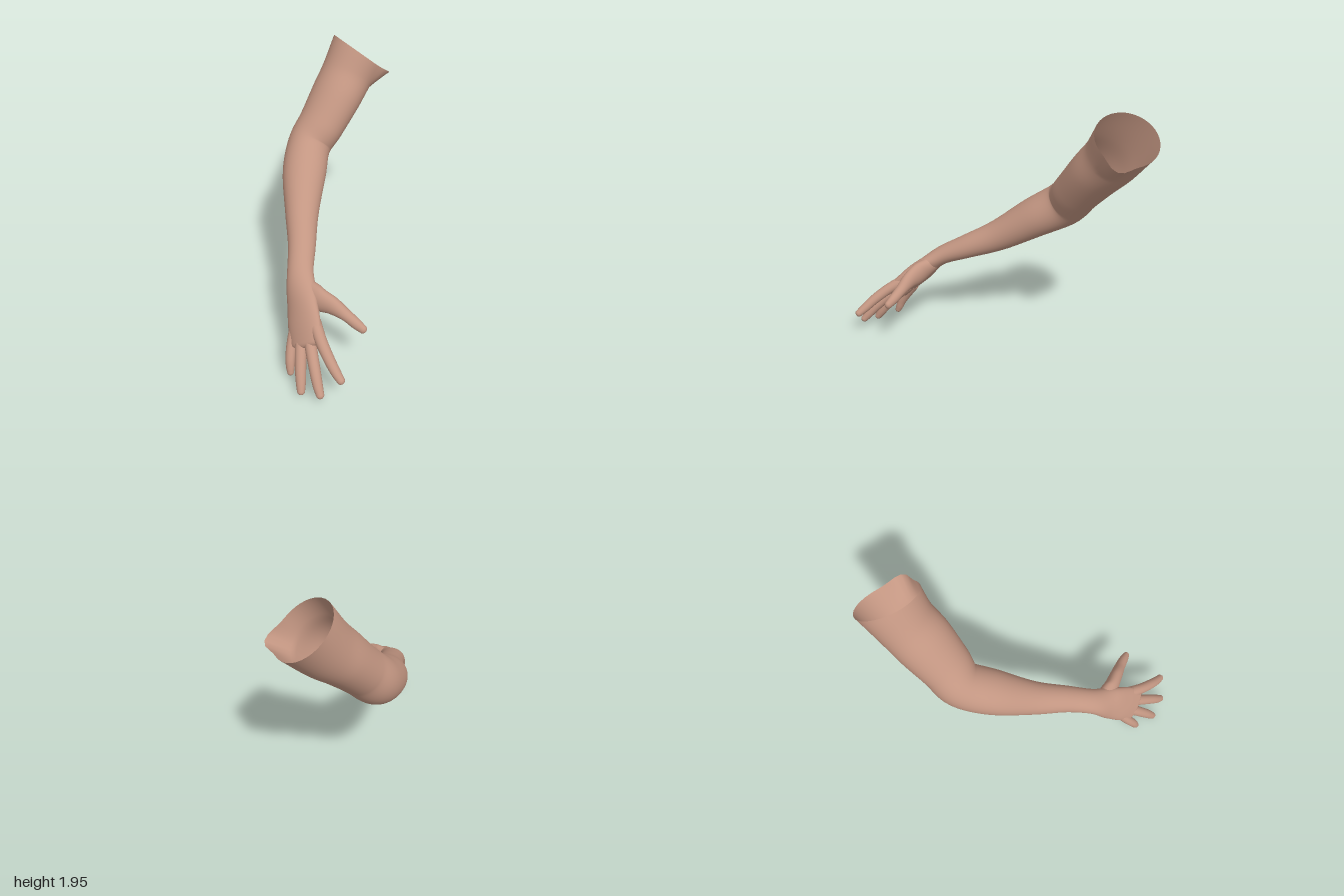
import * as THREE from 'three';

const skin = new THREE.MeshStandardMaterial({ color: 0xc39682, side: THREE.DoubleSide });
skin.name = 'skin';

const V = (x, y, z) => new THREE.Vector3(x, y, z);

// Smooth skin through elliptical sections [x, y, z, sideRadius, otherRadius, sideDirection],
// closed at the end by a rounded cap. "shape" may reshape the ring of a given t.
function loft(name, sections, { rows = 40, sides = 28, cap = 0.03, shape = null } = {}) {
  const curve = (pts) => new THREE.CatmullRomCurve3(pts, false, 'catmullrom', 0.5);
  const path = curve(sections.map((s) => V(s[0], s[1], s[2])));
  const radii = curve(sections.map((s) => V(s[3], s[4], 0)));
  const hints = curve(sections.map((s) => V(...s[5])));
  const positions = [];
  const index = [];
  const capRows = 7;
  const total = rows + capRows;
  for (let i = 0; i <= total; i++) {
    const t = Math.min(i / rows, 1);
    const phi = (Math.max(0, i - rows) / capRows) * Math.PI / 2;
    const T = path.getTangent(t);
    const c = path.getPoint(t).addScaledVector(T, cap * Math.sin(phi));
    const r = radii.getPoint(t).multiplyScalar(Math.max(Math.cos(phi), 0.001));
    const side = hints.getPoint(t);
    side.addScaledVector(T, -side.dot(T)).normalize();
    const up = side.clone().cross(T);
    for (let j = 0; j < sides; j++) {
      const a = (j / sides) * Math.PI * 2;
      const { scale, slide } = shape ? shape(t, a) : { scale: 1, slide: 0 };
      const p = c.clone()
        .addScaledVector(side, r.x * Math.cos(a) * scale)
        .addScaledVector(up, r.y * Math.sin(a) * scale)
        .addScaledVector(T, slide);
      positions.push(p.x, p.y, p.z);
      if (i < total) {
        const k = (j + 1) % sides;
        const A = i * sides + j, B = A + sides, C = i * sides + k, D = C + sides;
        index.push(A, B, C, B, D, C);
      }
    }
  }
  const g = new THREE.BufferGeometry();
  g.setAttribute('position', new THREE.Float32BufferAttribute(positions, 3));
  g.setIndex(index);
  g.computeVertexNormals();
  const mesh = new THREE.Mesh(g, skin);
  mesh.name = name;
  return mesh;
}

// Slanted open rim, with one flared corner
function rimShape(t, a) {
  const near = Math.max(0, 1 - t / 0.09);
  const d = a - Math.PI * 1.25;
  return {
    scale: 1 + 0.32 * near * Math.exp(-d * d * 9),
    slide: -0.05 * near * Math.cos(a),
  };
}

export function createModel() {
  const group = new THREE.Group();
  group.name = 'arm';

  const back = [-0.1, 0, -1];
  const outer = [-0.8, 0, -0.62];
  const little = [-0.41, -0.56, -0.74]; // from index knuckle to little knuckle

  // Upper arm, elbow, forearm, wrist and palm in one skin
  group.add(loft('armAndPalm', [
    [0.67, 1.83, -0.69, 0.235, 0.225, back],
    [0.54, 1.66, -0.67, 0.215, 0.205, back],
    [0.41, 1.52, -0.64, 0.215, 0.19, back],
    [0.25, 1.34, -0.61, 0.195, 0.175, [-0.2, 0, -1]],
    [0.11, 1.19, -0.59, 0.175, 0.175, [-0.45, 0, -0.9]],
    [-0.05, 1.05, -0.43, 0.172, 0.158, outer],
    [-0.23, 0.87, -0.2, 0.13, 0.125, outer],
    [-0.38, 0.755, 0.02, 0.105, 0.095, outer],
    [-0.51, 0.655, 0.19, 0.1, 0.075, [-0.7, -0.25, -0.68]],
    [-0.585, 0.53, 0.32, 0.135, 0.068, little],
    [-0.645, 0.42, 0.43, 0.15, 0.056, little],
    [-0.69, 0.325, 0.52, 0.145, 0.044, little],
  ], { rows: 88, sides: 40, cap: 0.04, shape: rimShape }));

  // Thumb, broad at its root to form the ball and the web
  group.add(loft('thumb', [
    [-0.53, 0.6, 0.25, 0.07, 0.055, little],
    [-0.505, 0.555, 0.38, 0.1, 0.06, little],
    [-0.45, 0.535, 0.5, 0.075, 0.052, little],
    [-0.4, 0.49, 0.6, 0.046, 0.043, little],
    [-0.365, 0.445, 0.68, 0.041, 0.037, little],
    [-0.345, 0.42, 0.73, 0.033, 0.028, little],
  ]));

  // Fingers: root in the palm, knuckle, middle joint, last joint, tip
  const fingers = {
    indexFinger: [[-0.6, 0.46, 0.5], [-0.635, 0.39, 0.63], [-0.65, 0.32, 0.745], [-0.652, 0.265, 0.825], [-0.65, 0.228, 0.885]],
    middleFinger: [[-0.63, 0.41, 0.46], [-0.69, 0.31, 0.585], [-0.735, 0.21, 0.695], [-0.758, 0.14, 0.76], [-0.77, 0.092, 0.805]],
    ringFinger: [[-0.66, 0.37, 0.42], [-0.73, 0.265, 0.51], [-0.785, 0.165, 0.585], [-0.815, 0.095, 0.63], [-0.835, 0.045, 0.66]],
    littleFinger: [[-0.69, 0.34, 0.37], [-0.75, 0.24, 0.415], [-0.785, 0.165, 0.45], [-0.8, 0.11, 0.47], [-0.808, 0.075, 0.483]],
  };
  const thickness = [0.046, 0.043, 0.04, 0.036, 0.029];
  for (const [name, joints] of Object.entries(fingers)) {
    const k = name === 'littleFinger' ? 0.88 : 1;
    group.add(loft(name, joints.map((p, i) => [...p, thickness[i] * k, thickness[i] * k, little]),
      { rows: 24, sides: 18, cap: 0.027 }));
  }
  return group;
}
